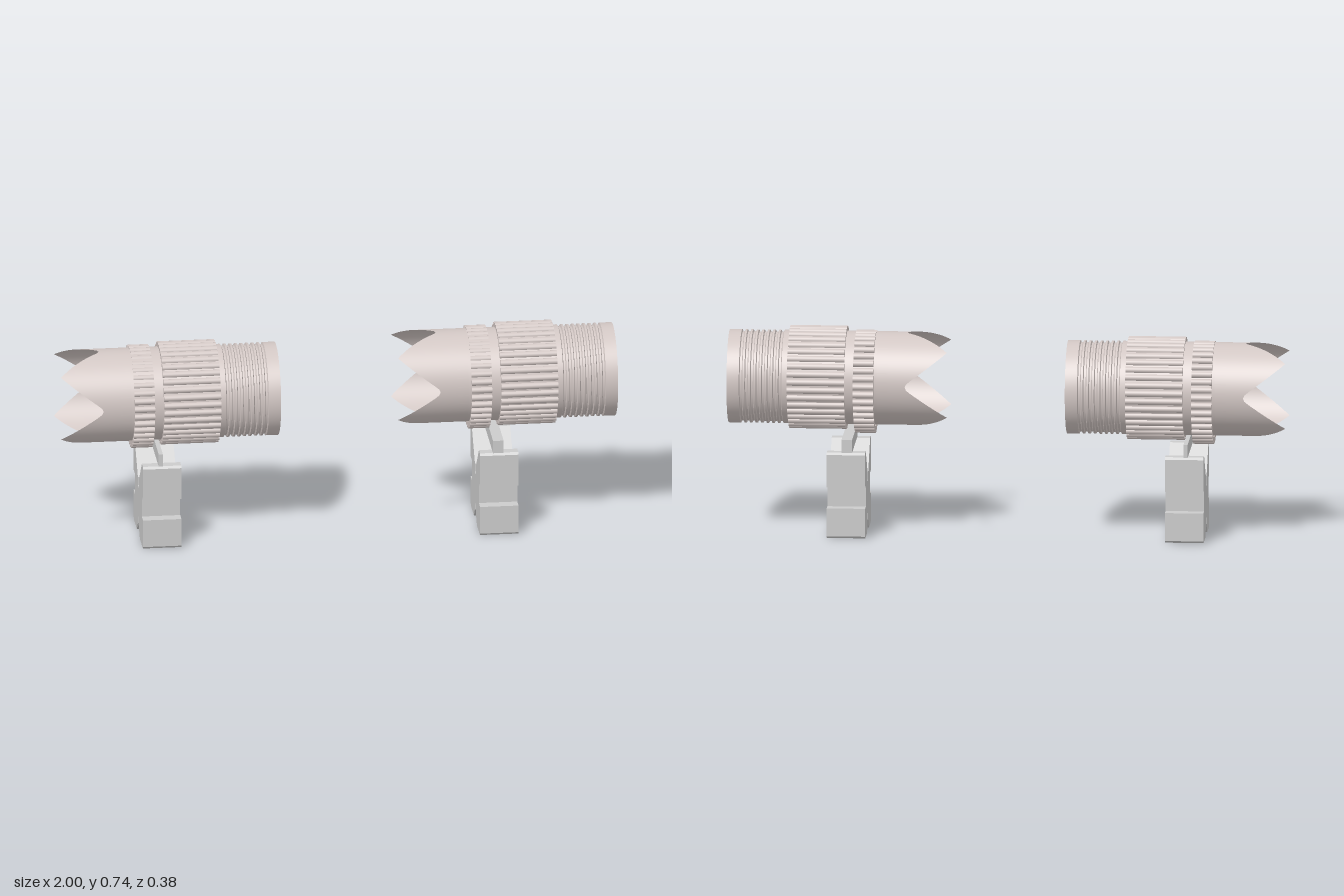
import * as THREE from 'three';
import { toCreasedNormals } from 'three/addons/utils/BufferGeometryUtils.js';

const shell = new THREE.MeshStandardMaterial({ color: 0xd2c7c4, side: THREE.DoubleSide });
const grey = new THREE.MeshStandardMaterial({ color: 0xcccccc });
const R = 0.167;

function part(name, geometry, material) {
  const mesh = new THREE.Mesh(geometry, material);
  mesh.name = name;
  return mesh;
}

// Closed ring profile of [x, radius], spun round the x axis
function spin(points) {
  const geo = new THREE.LatheGeometry(points.map(([x, r]) => new THREE.Vector2(r, x)), 64);
  geo.rotateZ(-Math.PI / 2);
  return toCreasedNormals(geo, 0.5);
}

// Hollow body with threads on the outside and inside of its open end
function barrelGeometry() {
  const p = [[-0.79, 0.154], [-0.79, R], [-0.41, R]];
  for (let x = -0.41; x < -0.26; x += 0.02) {
    p.push([x + 0.003, 0.160], [x + 0.010, 0.160], [x + 0.013, R], [x + 0.02, R]);
  }
  p.push([-0.213, R], [-0.213, 0.150], [-0.235, 0.150]);
  for (let x = -0.24; x > -0.39; x -= 0.02) {
    p.push([x - 0.003, 0.156], [x - 0.010, 0.156], [x - 0.013, 0.150], [x - 0.02, 0.150]);
  }
  p.push([-0.42, 0.154], [-0.79, 0.154]);
  return spin(p);
}

// Thin tube whose rim is cut by four notches, leaving four pointed petals
function hoodGeometry() {
  const geo = new THREE.CylinderGeometry(R, R, 1, 96, 6, true);
  geo.rotateZ(-Math.PI / 2);
  const pos = geo.attributes.position;
  for (let i = 0; i < pos.count; i++) {
    const y = pos.getY(i), z = pos.getZ(i);
    const s = Math.min(Math.abs(y), Math.abs(z)) / (R * Math.SQRT1_2);
    const rim = -0.84 - 0.16 * (s < 0.15 ? s * s / 0.3 + 0.075 : s);
    pos.setX(i, THREE.MathUtils.lerp(rim, -0.75, pos.getX(i) + 0.5));
  }
  geo.computeVertexNormals();
  // Radial normals keep the tube smooth over its seam
  for (let i = 0; i < pos.count; i++) {
    geo.attributes.normal.setXYZ(i, 0, pos.getY(i) / R, pos.getZ(i) / R);
  }
  return geo;
}

// Grip ring of round rods between x0 and x1
function grip(name, x0, x1, count, base) {
  const g = new THREE.Group();
  g.name = name;
  g.add(part(name + 'Band', spin([[x0, 0.160], [x0, base], [x1, base], [x1, 0.160], [x0, 0.160]]), shell));
  const rod = new THREE.CylinderGeometry(0.012, 0.012, x1 - x0, 12);
  rod.rotateZ(Math.PI / 2);
  for (let i = 0; i < count; i++) {
    const a = (i / count) * Math.PI * 2;
    const m = part(name + 'Rod', rod, shell);
    m.position.set((x0 + x1) / 2, Math.cos(a) * 0.173, Math.sin(a) * 0.173);
    g.add(m);
  }
  return g;
}

function barrelAssembly() {
  const g = new THREE.Group();
  g.name = 'barrel';
  g.add(part('threadedTube', barrelGeometry(), shell));
  g.add(part('petalHood', hoodGeometry(), shell));
  g.add(grip('wideGrip', -0.635, -0.43, 38, 0.176));
  const narrow = grip('narrowGrip', -0.74, -0.667, 38, 0.172);
  narrow.position.set(0, -0.012, -0.008); // sits slightly off centre
  g.add(narrow);
  return g;
}

// Notched block with a V cradle, extruded along x
function blockGeometry() {
  const outline = [
    [0.145, 0], [0.152, 0.008], [0.152, 0.11], [0.112, 0.11], [0.112, 0.187], [0.152, 0.187],
    [0.152, 0.305], [0.145, 0.313], [0.112, 0.313], [0.012, 0.212], [0.012, 0.182],
    [-0.016, 0.182], [-0.016, 0.212], [-0.117, 0.313], [-0.147, 0.313], [-0.155, 0.305],
    [-0.155, 0.187], [-0.117, 0.187], [-0.117, 0.11], [-0.155, 0.11], [-0.155, 0.008],
    [-0.145, 0], [-0.051, 0], [-0.015, 0.037], [-0.015, 0.065], [0.01, 0.065], [0.01, 0.037], [0.047, 0],
  ];
  const shape = new THREE.Shape(outline.map(([z, y]) => new THREE.Vector2(-z, y)));
  const geo = new THREE.ExtrudeGeometry(shape, { depth: 0.138, bevelEnabled: false });
  geo.translate(0, 0, -0.069);
  geo.rotateY(Math.PI / 2);
  return geo;
}

function unit(name, x, barrelY, barX, barWidth) {
  const g = new THREE.Group();
  g.name = name;
  const barrel = barrelAssembly();
  barrel.position.set(0, barrelY, -0.006);
  const block = part('mountBlock', blockGeometry(), grey);
  block.position.x = -0.64;
  const bar = part('crossBar', new THREE.BoxGeometry(barWidth, 0.047, 0.302), grey);
  bar.position.set(barX, 0.3365, -0.0025);
  g.add(barrel, block, bar);
  g.position.x = x;
  return g;
}

export function createModel() {
  const model = new THREE.Group();
  model.name = 'barrelPair';
  model.add(unit('rightUnit', 0, 0.536, -0.645, 0.015));
  model.add(unit('leftUnit', 1.213, 0.559, -0.643, 0.038));
  return model;
}
